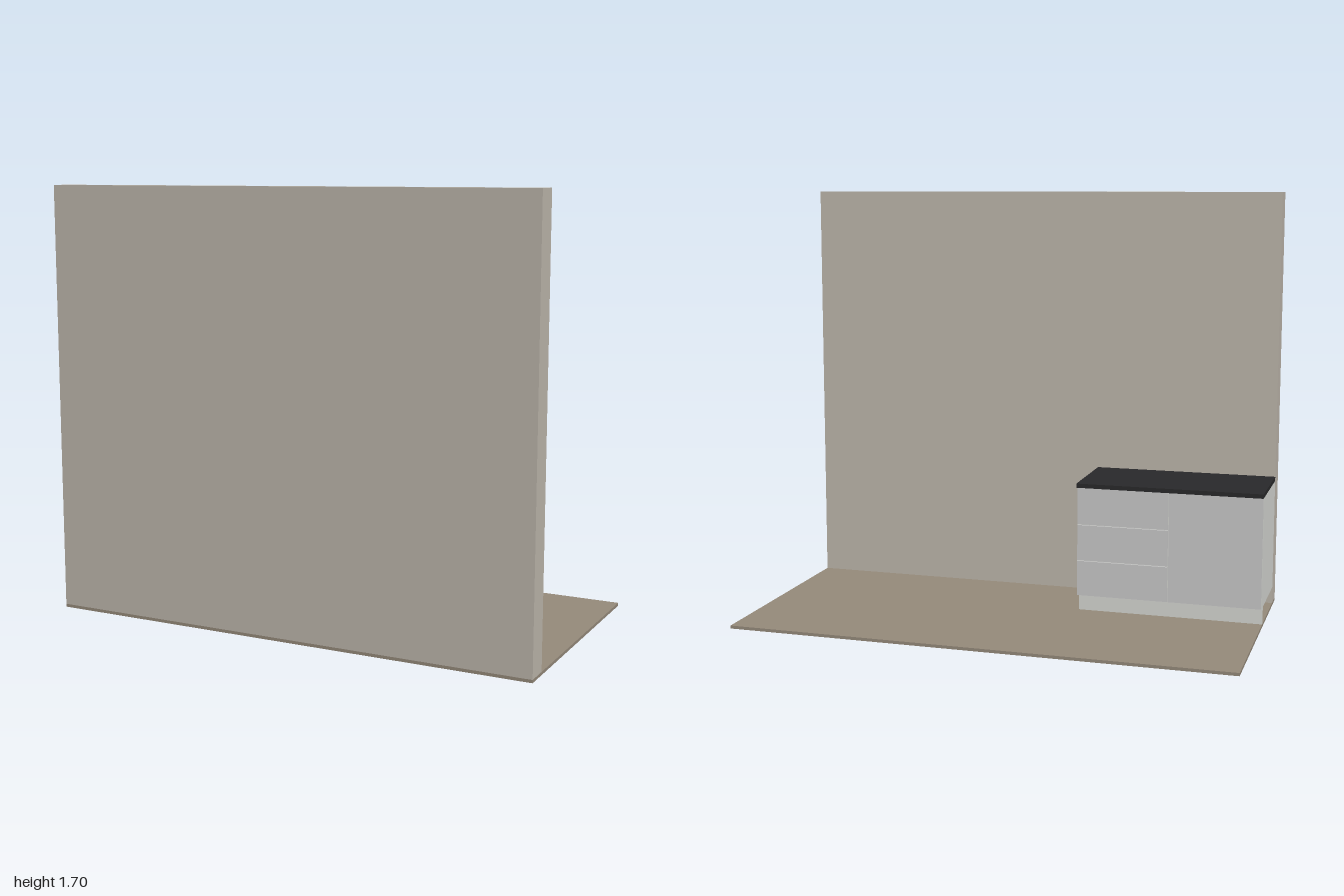
import * as THREE from 'three';

const mat = (color) => new THREE.MeshStandardMaterial({ color });

export function createModel() {
  const model = new THREE.Group();
  model.name = 'kitchenCorner';
  const wallMat = mat(0xc0b9ae);
  const floorMat = mat(0x978c7c);
  const topMat = mat(0x29292b);
  const carcassMat = mat(0xd8dad5);
  const frontMat = mat(0xbdbebf);

  // Box given by its lower and upper limits on each axis
  function box(name, material, [x0, x1], [y0, y1], [z0, z1], parent = model) {
    const mesh = new THREE.Mesh(new THREE.BoxGeometry(x1 - x0, y1 - y0, z1 - z0), material);
    mesh.position.set((x0 + x1) / 2, (y0 + y1) / 2, (z0 + z1) / 2);
    mesh.name = name;
    parent.add(mesh);
    return mesh;
  }

  // Room
  box('floor', floorMat, [-1, 1], [0, 0.012], [-0.515, 0.515]);
  box('wall', wallMat, [-1, 1], [0.012, 1.7], [0.422, 0.515]);

  // Two cabinet carcasses side by side, each made of panels
  const left = -1, mid = -0.627, right = -0.255;
  const bottom = 0.081, top = 0.528, front = 0.072, back = 0.422, t = 0.011;
  function carcass(name, x0, x1) {
    const unit = new THREE.Group();
    unit.name = name;
    const inner = [x0 + t, x1 - t];
    box('leftSide', carcassMat, [x1 - t, x1], [bottom, top], [front, back], unit);
    box('rightSide', carcassMat, [x0, x0 + t], [bottom, top], [front, back], unit);
    box('bottomPanel', carcassMat, inner, [bottom, bottom + t], [front, back], unit);
    box('topPanel', carcassMat, inner, [top - t, top], [front, back], unit);
    box('backPanel', carcassMat, inner, [bottom + t, top - t], [back - 0.006, back], unit);
    model.add(unit);
    return unit;
  }
  const doorUnit = carcass('doorCabinet', left, mid);
  const drawerUnit = carcass('drawerCabinet', mid, right);

  // Fronts, with a narrow gap around each one
  const gap = 0.002, frontZ = [0.063, 0.071];
  box('door', frontMat, [left + gap, mid - gap], [bottom + gap, top - gap], frontZ, doorUnit);
  const levels = [bottom, 0.227, 0.375, top];
  for (let i = 0; i < 3; i++) {
    box('drawerFront', frontMat, [mid + gap, right - gap],
      [levels[i] + gap, levels[i + 1] - gap], frontZ, drawerUnit);
  }

  // Recessed plinth and worktop
  box('plinth', carcassMat, [left, right], [0.012, bottom], [0.103, 0.113]);
  box('worktop', topMat, [left, right], [top, 0.545], [0.05, back]);

  return model;
}
